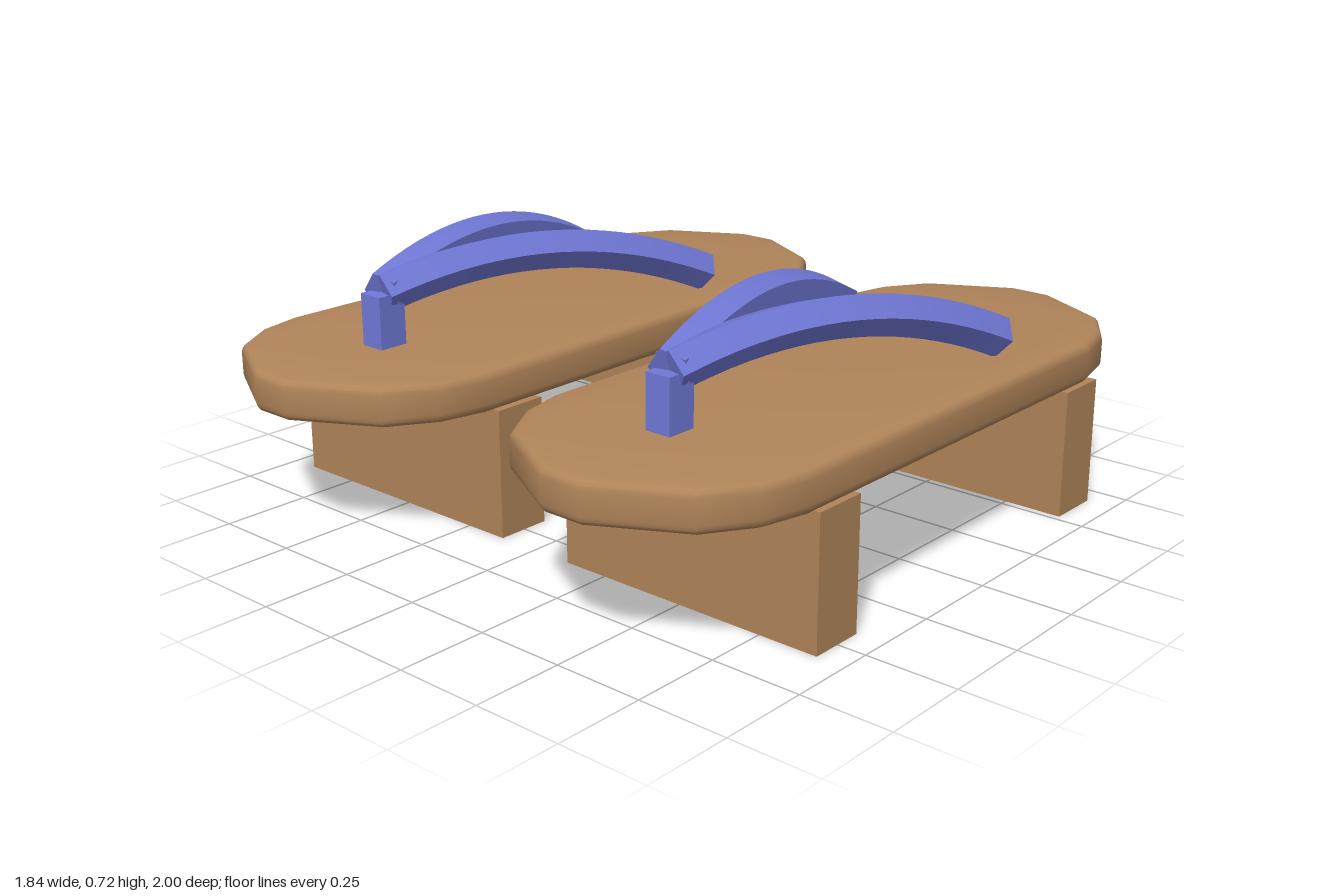
import * as THREE from 'three';
import { toCreasedNormals } from 'three/addons/utils/BufferGeometryUtils.js';

const wood = new THREE.MeshStandardMaterial({ color: 0xb08459 });
wood.name = 'wood';
const cord = new THREE.MeshStandardMaterial({ color: 0x7078d6 });
cord.name = 'blue cord';

function part(parent, name, geometry, material, x = 0, y = 0, z = 0) {
  const mesh = new THREE.Mesh(geometry, material);
  mesh.name = name;
  mesh.position.set(x, y, z);
  parent.add(mesh);
  return mesh;
}

// Board: faceted oval with a softly rounded rim, lying from y = 0.36 to 0.47
function boardGeometry() {
  const corner = [[0.4, 0.62], [0.37, 0.75], [0.29, 0.875], [0.06, 1]];
  const half = [...corner.map(([x, z]) => [x, z]), ...corner.map(([x, z]) => [-x, z]).reverse()];
  const outline = [...half, ...half.map(([x, z]) => [-x, -z])];
  const shape = new THREE.Shape(outline.map(([x, z]) => new THREE.Vector2(x, z)));
  const geometry = new THREE.ExtrudeGeometry(shape, {
    depth: 0.06, bevelThickness: 0.025, bevelSize: 0.02, bevelOffset: -0.02, bevelSegments: 3,
  });
  geometry.rotateX(-Math.PI / 2);
  geometry.translate(0, 0.385, 0);
  return toCreasedNormals(geometry, 0.62);
}

// Strap: five-sided bar bent along an arch, one edge pointing outward
function strapGeometry(side) {
  const path = new THREE.QuadraticBezierCurve3(
    new THREE.Vector3(0, 0.615, 0.625),
    new THREE.Vector3(side * 0.129, 0.758, 0.115),
    new THREE.Vector3(side * 0.258, 0.515, -0.395));
  const geometry = new THREE.CylinderGeometry(0.058, 0.058, 1, 5, 20);
  const pos = geometry.attributes.position;
  const up = new THREE.Vector3(0, 1, 0);
  for (let i = 0; i < pos.count; i++) {
    const t = THREE.MathUtils.clamp(pos.getY(i) + 0.5, 0, 1);
    const tangent = path.getTangent(t);
    const outward = new THREE.Vector3().crossVectors(tangent, up).normalize().multiplyScalar(side);
    const across = new THREE.Vector3().crossVectors(tangent, outward);
    const p = path.getPoint(t)
      .addScaledVector(outward, pos.getZ(i))
      .addScaledVector(across, pos.getX(i));
    pos.setXYZ(i, p.x, p.y, p.z);
  }
  return toCreasedNormals(geometry, 0.5);
}

function createSandal(name) {
  const sandal = new THREE.Group();
  sandal.name = name;
  part(sandal, 'board', boardGeometry(), wood);

  // Two crosswise blocks under the board
  const block = new THREE.BoxGeometry(0.8, 0.357, 0.155);
  part(sandal, 'frontBlock', block, wood, 0, 0.1785, 0.503);
  part(sandal, 'rearBlock', block, wood, 0, 0.1785, -0.598);

  // Toe post with its knot below, and the two straps
  const thong = new THREE.Group();
  thong.name = 'thong';
  sandal.add(thong);
  part(thong, 'toePost', new THREE.BoxGeometry(0.075, 0.27, 0.085), cord, 0, 0.48, 0.625);
  part(thong, 'knot', new THREE.SphereGeometry(0.062, 24, 16), cord, 0, 0.327, 0.628);
  part(thong, 'leftStrap', strapGeometry(1), cord);
  part(thong, 'rightStrap', strapGeometry(-1), cord);
  return sandal;
}

export function createModel() {
  const model = new THREE.Group();
  model.name = 'sandals';
  for (const side of [1, -1]) {
    const sandal = createSandal(side > 0 ? 'leftSandal' : 'rightSandal');
    sandal.position.x = side * 0.52;
    sandal.getObjectByName('thong').position.x = -side * 0.009;
    model.add(sandal);
  }
  return model;
}
